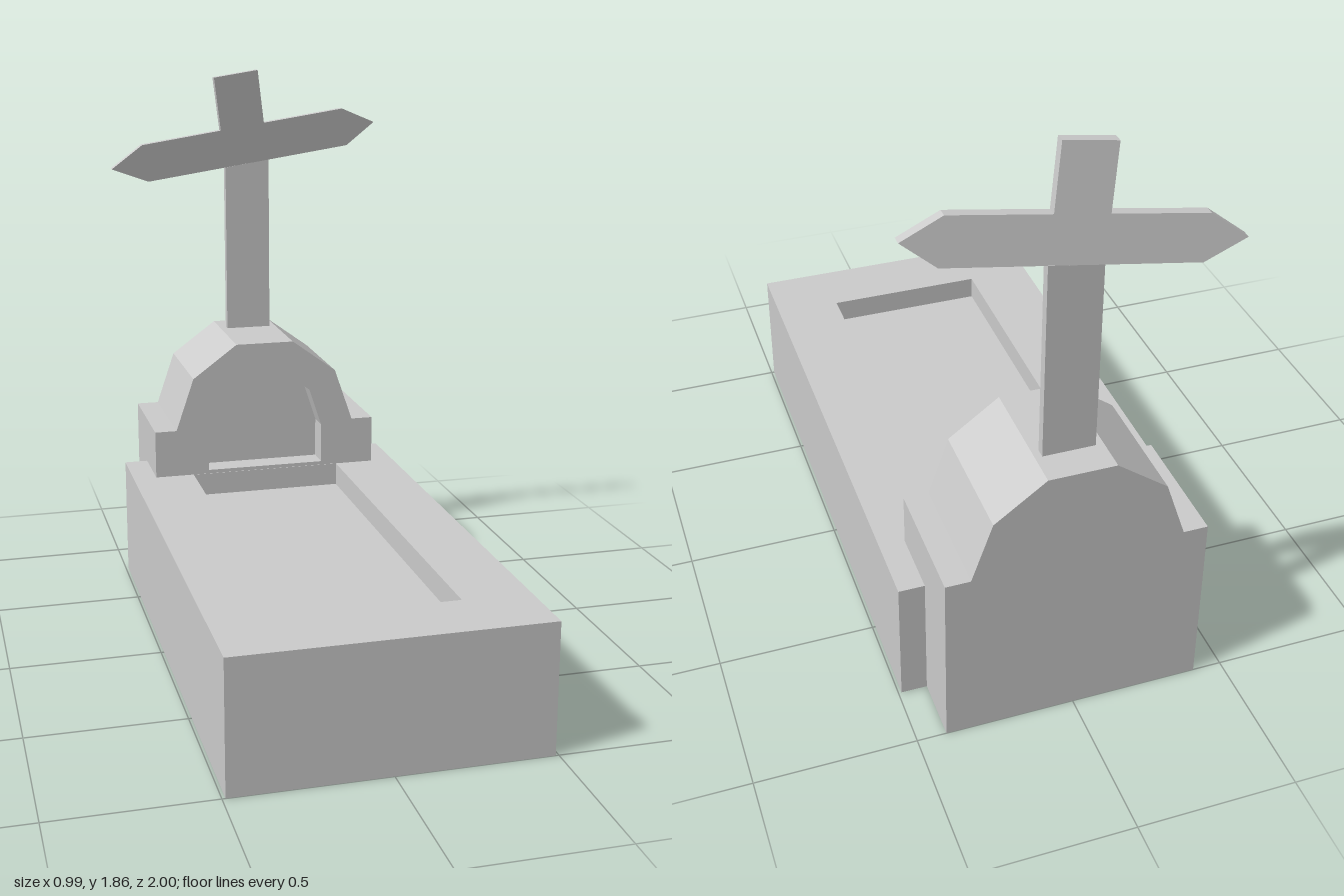
import * as THREE from 'three';

const material = new THREE.MeshStandardMaterial({
  color: 0xcccccc, flatShading: true, side: THREE.DoubleSide,
});

const toVectors = (points) => points.map(([x, y]) => new THREE.Vector2(x, y));

// Right half of a symmetric outline, listed bottom to top, mirrored to a closed loop.
const mirrored = (half) => [...half, ...half.map(([x, y]) => [-x, y]).reverse()];

const rectangle = (x, y0, y1) => mirrored([[x, y0], [x, y1]]);

// Flat face at height z, optionally with an opening.
function sheet(outline, z, hole) {
  const shape = new THREE.Shape(toVectors(outline));
  if (hole) shape.holes.push(new THREE.Path(toVectors(hole)));
  return new THREE.ShapeGeometry(shape).translate(0, 0, z);
}

// Walls following an outline from z0 up to z1.
function walls(outline, z0, z1) {
  const positions = [];
  outline.forEach(([ax, ay], i) => {
    const [bx, by] = outline[(i + 1) % outline.length];
    positions.push(ax, ay, z0, bx, by, z0, bx, by, z1, ax, ay, z0, bx, by, z1, ax, ay, z1);
  });
  const geometry = new THREE.BufferGeometry();
  geometry.setAttribute('position', new THREE.Float32BufferAttribute(positions, 3));
  geometry.computeVertexNormals();
  return geometry;
}

function slab(outline, z, depth) {
  return new THREE.ExtrudeGeometry(new THREE.Shape(toVectors(outline)), {
    depth, bevelEnabled: false,
  }).translate(0, 0, z);
}

function addMesh(parent, name, geometry) {
  const mesh = new THREE.Mesh(geometry, material);
  mesh.name = name;
  parent.add(mesh);
}

// Hollow grave base, open underneath, with a sunken bed on top.
function createBase() {
  const base = new THREE.Group();
  base.name = 'base';
  const height = 0.42, bedHeight = 0.34;
  // Outlines are drawn flat, with their y axis pointing to the back.
  const outer = rectangle(0.49, -1, 0.8);
  const bed = rectangle(0.27, -0.78, 0.588);
  addMesh(base, 'baseWalls', walls(outer, 0, height));
  addMesh(base, 'baseRim', sheet(outer, height, bed));
  addMesh(base, 'bedWalls', walls([...bed].reverse(), bedHeight, height));
  addMesh(base, 'bedFloor', sheet(bed, bedHeight));
  base.rotation.x = -Math.PI / 2;
  return base;
}

// Stepped headstone with an arched niche in its front.
function createHeadstone() {
  const headstone = new THREE.Group();
  headstone.name = 'headstone';
  const back = -1, front = -0.59, nicheBack = -0.675;
  const outline = mirrored([[0.408, 0], [0.408, 0.59], [0.33, 0.59], [0.265, 0.78], [0.105, 0.898]]);
  const niche = mirrored([[0.213, 0.433], [0.213, 0.575], [0.168, 0.712], [0.064, 0.788]]);
  addMesh(headstone, 'headstoneSides', walls(outline, back, front));
  addMesh(headstone, 'headstoneBack', sheet(outline, -back).rotateY(Math.PI));
  addMesh(headstone, 'headstoneFront', sheet(outline, front, niche));
  addMesh(headstone, 'nicheWalls', walls([...niche].reverse(), nicheBack, front));
  addMesh(headstone, 'nicheBack', sheet(niche, nicheBack));
  return headstone;
}

// Thin cross whose head is crooked and leans forward.
function createCross() {
  const cross = new THREE.Group();
  cross.name = 'cross';
  const z = -0.895, depth = 0.03, bendHeight = 1.52, lean = 0.18;
  addMesh(cross, 'crossPost', slab(
    [[-0.08, 0.89], [0.083, 0.89], [0.083, 1.53], [-0.08, 1.504]], z, depth));

  const head = slab([
    [-0.365, 1.46], [0.38, 1.575], [0.48, 1.66], [0.355, 1.713], [0.06, 1.667],
    [0.03, 1.86], [-0.13, 1.835], [-0.1, 1.642], [-0.39, 1.596], [-0.5, 1.51],
  ], z, depth);
  const position = head.attributes.position;
  for (let i = 0; i < position.count; i++) {
    position.setZ(i, position.getZ(i) + lean * (position.getY(i) - bendHeight));
  }
  head.computeVertexNormals();
  addMesh(cross, 'crossHead', head);
  return cross;
}

export function createModel() {
  const model = new THREE.Group();
  model.name = 'grave';
  model.add(createBase(), createHeadstone(), createCross());
  return model;
}
